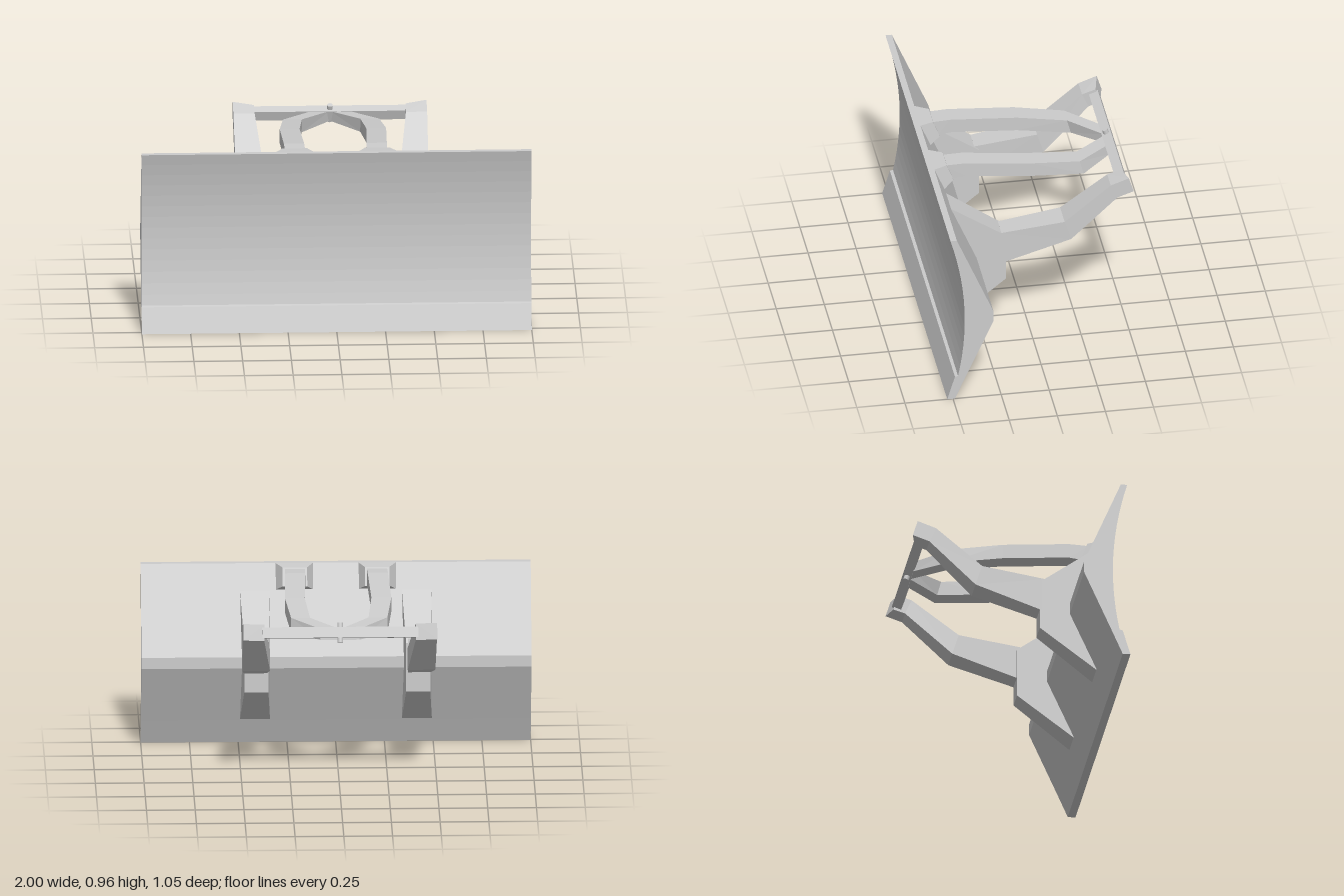
import * as THREE from 'three';

const steel = new THREE.MeshStandardMaterial({ color: 0xcccccc });
steel.name = 'plain steel grey';

function addMesh(parent, name, geometry) {
  const mesh = new THREE.Mesh(geometry, steel);
  mesh.name = name;
  parent.add(mesh);
  return mesh;
}

// Four-cornered section: [xa, xb], top edge [y, z], bottom edge [y, z]
const section = ([xa, xb], [ty, tz], [by, bz]) => [
  [xa, ty, tz], [xb, ty, tz], [xb, by, bz], [xa, by, bz],
];

// Closed, flat-faced loft through four-cornered sections; side = -1 mirrors it in x
function loft(rings, side) {
  const tris = [];
  const quad = (a, b, c, d) => tris.push([a, b, c], [a, c, d]);
  for (let i = 0; i < rings.length - 1; i++) {
    for (let j = 0; j < 4; j++) {
      const k = (j + 1) % 4;
      quad(rings[i][j], rings[i][k], rings[i + 1][k], rings[i + 1][j]);
    }
  }
  const last = rings[rings.length - 1];
  quad(rings[0][3], rings[0][2], rings[0][1], rings[0][0]);
  quad(...last);
  // Signed volume tells whether the faces point outward
  let volume = 0;
  const v = tris.map((t) => t.map(([x, y, z]) => new THREE.Vector3(x * side, y, z)));
  for (const [a, b, c] of v) volume += a.dot(b.clone().cross(c));
  const points = v.flatMap(([a, b, c]) => (volume < 0 ? [a, c, b] : [a, b, c]));
  const geometry = new THREE.BufferGeometry().setFromPoints(points);
  geometry.computeVertexNormals();
  return geometry;
}

// Side profile of [z, y] points, extruded across the full blade width
function acrossWidth(profile) {
  const shape = new THREE.Shape(profile.map(([z, y]) => new THREE.Vector2(z, y)));
  const geometry = new THREE.ExtrudeGeometry(shape, { depth: 2, bevelEnabled: false });
  return geometry.rotateY(-Math.PI / 2).translate(1, 0, 0);
}

export function createModel() {
  const model = new THREE.Group();
  model.name = 'plowBlade';

  // Mouldboard: concave front, ridged back
  const board = [[0.432, 0.132], [0.29, 0.45], [0.29, 0.51], [0.48, 0.957]];
  const steps = 14;
  for (let i = 0; i <= steps; i++) {
    const y = 0.957 - (0.825 * i) / steps;
    board.push([0.439 + 0.312 * (y - 0.47) ** 2, y]);
  }
  addMesh(model, 'mouldboard', acrossWidth(board));

  // Cutting edge stands slightly proud of the board
  addMesh(model, 'cuttingEdge', acrossWidth([
    [0.432, 0.132], [0.474, 0.136], [0.49, 0.132], [0.53, 0], [0.49, 0],
  ]));

  for (const side of [1, -1]) {
    const label = side > 0 ? 'left' : 'right';

    // Wedge-shaped rib behind the blade
    addMesh(model, label + 'Rib', loft([
      section([0.338, 0.492], [0.83, 0.43], [0.14, 0.426]),
      section([0.353, 0.477], [0.625, 0.135], [0.366, 0.135]),
    ], side));

    // Cranked lift arm from the rib up to the crossbar
    addMesh(model, label + 'LiftArm', loft([
      section([0.363, 0.477], [0.643, 0.16], [0.461, 0.16]),
      section([0.353, 0.495], [0.687, -0.166], [0.58, -0.2]),
      section([0.388, 0.497], [0.884, -0.405], [0.808, -0.44]),
      [[0.388, 0.907, -0.476], [0.497, 0.918, -0.5], [0.497, 0.837, -0.525], [0.388, 0.826, -0.5]],
    ], side));

    // Tapered bracket at the top of the blade
    addMesh(model, label + 'RodBracket', loft([
      section([0.117, 0.309], [0.957, 0.48], [0.83, 0.43]),
      section([0.148, 0.274], [0.953, 0.41], [0.862, 0.375]),
    ], side));

    // Upper rod, bending in to the centre pin
    addMesh(model, label + 'UpperRod', loft([
      section([0.158, 0.262], [0.945, 0.42], [0.865, 0.38]),
      section([0.16, 0.264], [0.949, 0.318], [0.873, 0.313]),
      section([0.171, 0.273], [0.918, -0.03], [0.842, -0.03]),
      section([0.15, 0.247], [0.887, -0.287], [0.811, -0.307]),
      section([0.004, 0.1], [0.876, -0.455], [0.82, -0.465]),
    ], side));
  }

  // Tilted crossbar with its pin
  const crossbar = new THREE.Group();
  crossbar.name = 'crossbarAssembly';
  crossbar.position.set(0, 0.862, -0.474);
  crossbar.rotation.x = 0.34;
  addMesh(crossbar, 'crossbar', new THREE.BoxGeometry(0.8, 0.055, 0.05));
  addMesh(crossbar, 'pin', new THREE.CylinderGeometry(0.015, 0.015, 0.1, 10));
  model.add(crossbar);

  return model;
}
